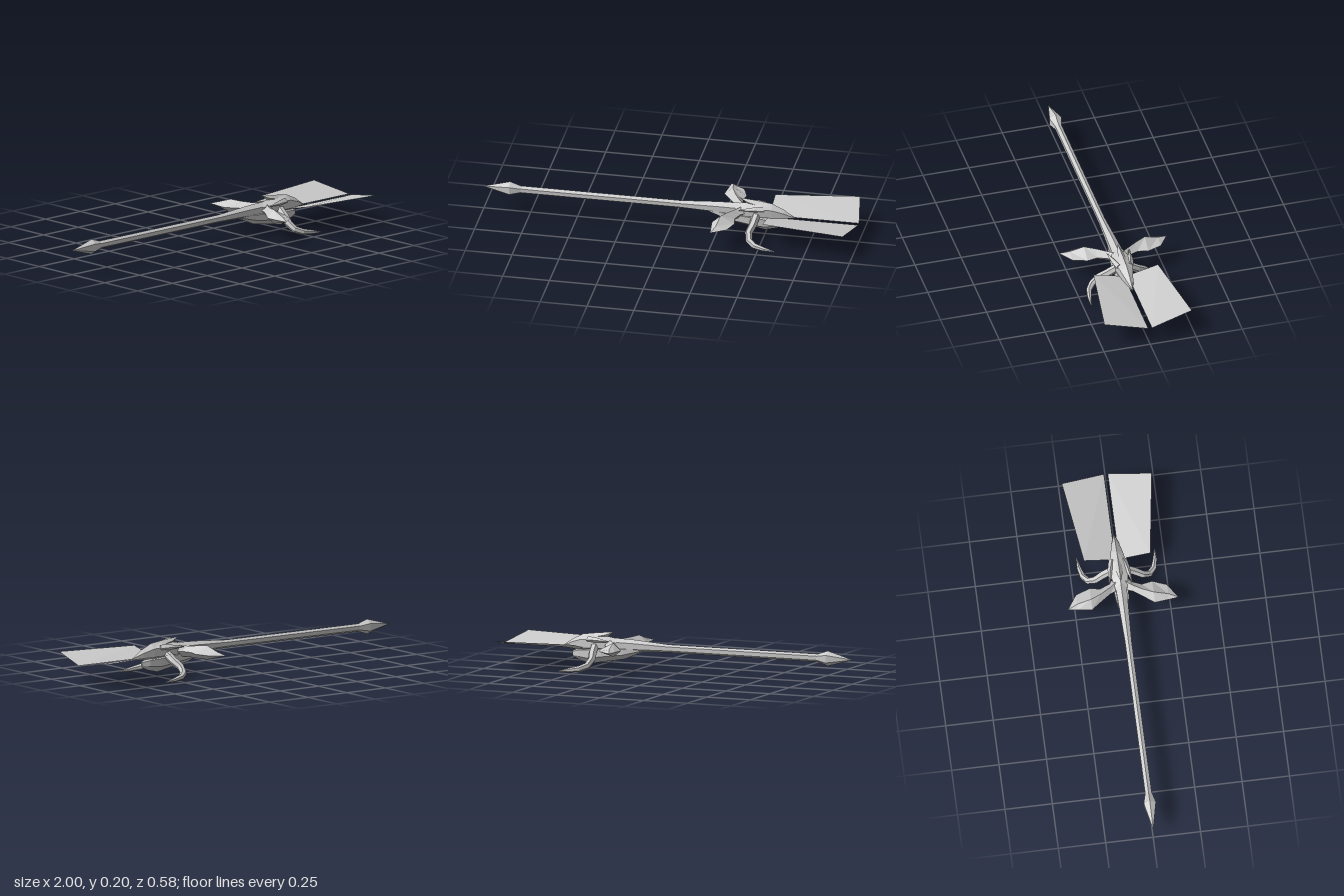
import * as THREE from 'three';

const metal = new THREE.MeshStandardMaterial({ color: 0xcccccc, flatShading: true, side: THREE.DoubleSide });
metal.name = 'pale metal';

// Skins a list of equal-length rings of [x, y, z], closing both ends
function loft(name, rings) {
  const n = rings[0].length;
  const pos = rings.flat(2);
  const idx = [];
  for (let r = 0; r < rings.length - 1; r++) {
    for (let k = 0; k < n; k++) {
      const a = r * n + k, b = r * n + (k + 1) % n;
      idx.push(a, a + n, b, b, a + n, b + n);
    }
  }
  const last = (rings.length - 1) * n;
  for (let k = 1; k < n - 1; k++) idx.push(0, k, k + 1, last, last + k + 1, last + k);
  let g = new THREE.BufferGeometry();
  g.setAttribute('position', new THREE.Float32BufferAttribute(pos, 3));
  g.setIndex(idx);
  g = g.toNonIndexed();
  g.computeVertexNormals();
  const mesh = new THREE.Mesh(g, metal);
  mesh.name = name;
  return mesh;
}

// Ring across the x axis with a corner at the top: [x, centre y, up, down, half width]
function section([x, y, up, down, w], sides = 6) {
  return Array.from({ length: sides }, (_, k) => {
    const a = Math.PI / 2 - k / sides * Math.PI * 2;
    const s = Math.sin(a);
    return [x, y + s * (s > 0 ? up : down), Math.cos(a) * w];
  });
}
const body = (name, rows, sides) => loft(name, rows.map(r => section(r, sides)));

// Diamond ring across a side wing: [z, left x, right x, ridge x, edge y, top y, bottom y]
const diamond = ([z, l, r, m, y, t, b]) => [[l, y, z], [m, t, z], [r, y, z], [m, b, z]];

// Tapered tube along a curve
function horn(name, points, radii, sides = 6) {
  const curve = new THREE.CatmullRomCurve3(points.map(p => new THREE.Vector3(...p)));
  const steps = points.length - 1;
  const frames = curve.computeFrenetFrames(steps, false);
  return loft(name, points.map((p, i) => Array.from({ length: sides }, (_, k) => {
    const a = k / sides * Math.PI * 2;
    return new THREE.Vector3(...p)
      .addScaledVector(frames.normals[i], Math.cos(a) * radii[i])
      .addScaledVector(frames.binormals[i], Math.sin(a) * radii[i]).toArray();
  })));
}

function sideParts() {
  const g = new THREE.Group();

  // Swept wing
  g.add(loft('wing', [
    [0.02, 0.34, 0.43, 0.38, 0.13, 0.158, 0.1],
    [0.06, 0.325, 0.38, 0.35, 0.13, 0.157, 0.1],
    [0.11, 0.29, 0.36, 0.32, 0.129, 0.161, 0.095],
    [0.165, 0.25, 0.37, 0.295, 0.128, 0.167, 0.093],
    [0.24, 0.258, 0.342, 0.285, 0.127, 0.143, 0.112],
    [0.29, 0.264, 0.268, 0.266, 0.127, 0.128, 0.126]
  ].map(diamond)));

  // Curling tusk
  g.add(horn('tusk', [
    [0.46, 0.12, 0.035], [0.452, 0.09, 0.08], [0.438, 0.062, 0.125], [0.447, 0.036, 0.162],
    [0.48, 0.022, 0.188], [0.53, 0.014, 0.2], [0.59, 0.006, 0.206]
  ], [0.022, 0.022, 0.02, 0.018, 0.016, 0.012, 0.003]));

  // Small horn sweeping back beside the brow
  g.add(horn('browHorn', [[0.5, 0.155, 0.03], [0.45, 0.158, 0.045], [0.37, 0.155, 0.06]],
    [0.018, 0.014, 0.002], 4));

  // Thin flat blade
  const blade = new THREE.BufferGeometry();
  blade.setAttribute('position', new THREE.Float32BufferAttribute([
    0.52, 0.145, 0.175, 0.96, 0.147, 0.237, 1, 0.106, 0.01, 0.52, 0.106, 0.01], 3));
  blade.setIndex([0, 1, 2, 0, 2, 3]);
  blade.computeVertexNormals();
  const mesh = new THREE.Mesh(blade, metal);
  mesh.name = 'blade';
  g.add(mesh);
  return g;
}

export function createModel() {
  const model = new THREE.Group();
  model.name = 'staff';

  // Pointed foot
  model.add(body('footSpike', [
    [-1, 0.13, 0.001, 0.001, 0.001], [-0.86, 0.13, 0.04, 0.04, 0.037], [-0.8, 0.13, 0.02, 0.02, 0.02]
  ]));

  // Shaft widening towards the head
  model.add(body('shaft', [
    [-0.84, 0.13, 0.021, 0.021, 0.02], [0.05, 0.13, 0.021, 0.021, 0.02],
    [0.25, 0.13, 0.035, 0.027, 0.029], [0.4, 0.13, 0.04, 0.03, 0.036]
  ]));

  // Upper head ending in a beak
  model.add(body('head', [
    [0.32, 0.13, 0.03, 0.03, 0.03], [0.4, 0.13, 0.045, 0.03, 0.05], [0.48, 0.135, 0.05, 0.04, 0.05],
    [0.54, 0.13, 0.05, 0.04, 0.038], [0.6, 0.12, 0.032, 0.02, 0.022], [0.66, 0.108, 0.002, 0.002, 0.001]
  ]));

  // Keel and lower jaw
  model.add(body('jaw', [
    [0.2, 0.115, 0.005, 0.01, 0.015], [0.3, 0.11, 0.01, 0.05, 0.04], [0.42, 0.1, 0.02, 0.06, 0.05],
    [0.5, 0.09, 0.02, 0.065, 0.042], [0.56, 0.085, 0.02, 0.045, 0.028], [0.6, 0.08, 0.01, 0.02, 0.006]
  ]));

  // Crest spike pointing back
  model.add(horn('crest', [[0.54, 0.16, 0], [0.46, 0.172, 0], [0.41, 0.182, 0], [0.365, 0.199, 0]],
    [0.02, 0.019, 0.014, 0.001], 4));

  // Mirrored side parts
  const left = sideParts();
  left.name = 'frontSide';
  const right = sideParts();
  right.name = 'backSide';
  right.scale.z = -1;
  model.add(left, right);
  return model;
}
